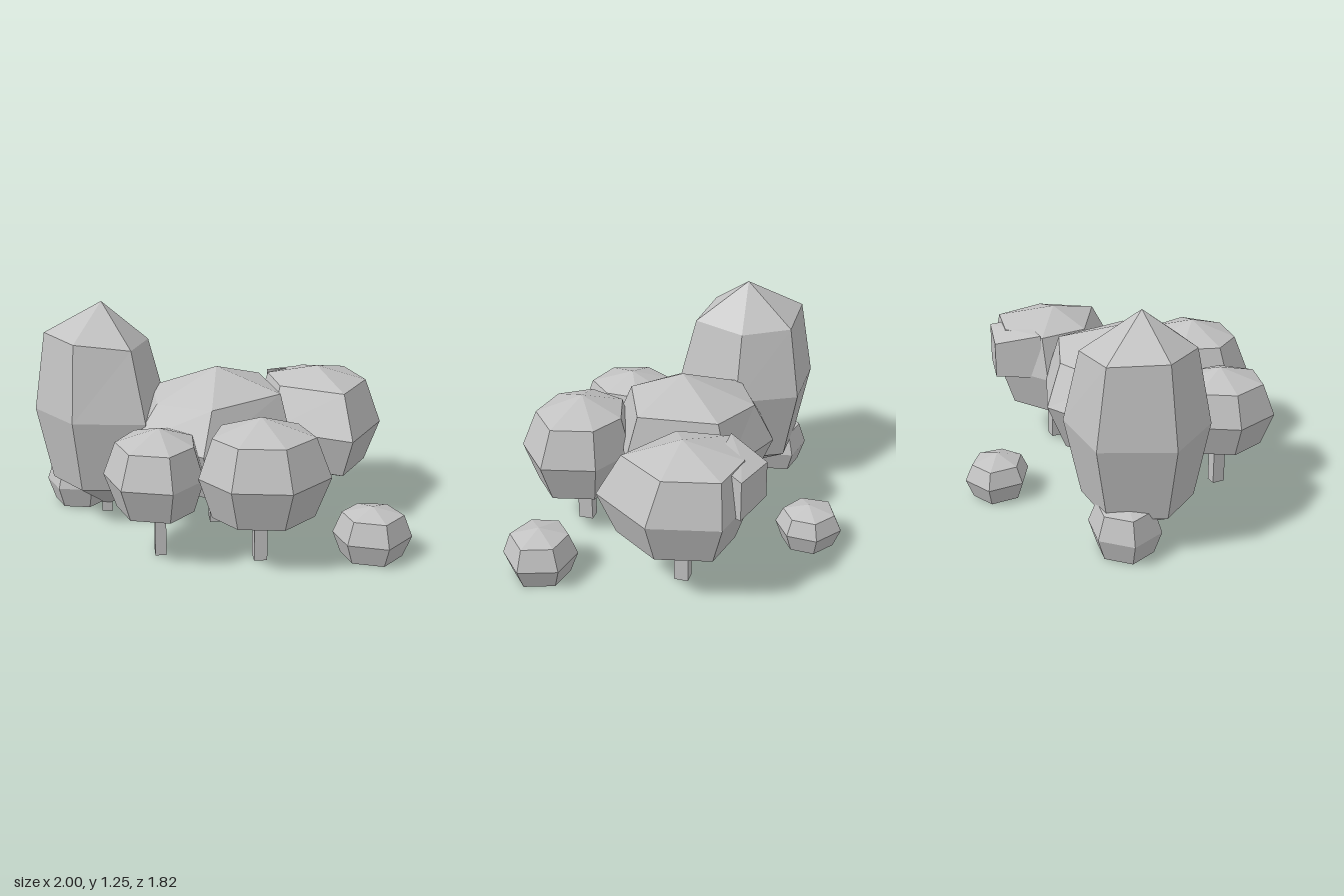
import * as THREE from 'three';

const foliage = new THREE.MeshStandardMaterial({ color: 0xc2c2c2 });
foliage.name = 'pale grey';

// Faceted solid: rings of [x, y, z] from bottom to top, closed by a point at each end
function loft(name, bottom, rings, top) {
  const pos = [];
  const tri = (...pts) => pts.forEach((p) => pos.push(...p));
  const n = rings[0].length;
  for (let i = 0; i < n; i++) {
    const j = (i + 1) % n;
    tri(bottom, rings[0][i], rings[0][j]);
    for (let k = 0; k < rings.length - 1; k++) {
      const a = rings[k], b = rings[k + 1];
      tri(a[i], b[i], a[j]);
      tri(a[j], b[i], b[j]);
    }
    const t = rings[rings.length - 1];
    tri(t[i], top, t[j]);
  }
  const geo = new THREE.BufferGeometry();
  geo.setAttribute('position', new THREE.Float32BufferAttribute(pos, 3));
  geo.computeVertexNormals();
  const mesh = new THREE.Mesh(geo, foliage);
  mesh.name = name;
  return mesh;
}

// Rounded crown: heights are bottom point, lower ring, widest ring, upper ring, top point;
// the upper ring may be shifted by [x, z] and tilted along x
function crown({ name, c, y, outline, shift = [0, 0], tilt = 0 }) {
  const ring = (s, h, [dx, dz] = [0, 0], slope = 0) => outline.map(([x, z]) => {
    const px = (x - c[0]) * s + dx;
    return [c[0] + px, h + px * slope, c[1] + (z - c[1]) * s + dz];
  });
  return loft(name, [c[0], y[0], c[1]],
    [ring(0.78, y[1]), ring(1, y[2]), ring(0.78, y[3], shift, tilt)], [c[0], y[4], c[1]]);
}

// Outlines are [x, z] around the widest ring
const trees = [
  { name: 'tallTree', c: [-0.61, -0.175], y: [0.03, 0.22, 0.64, 1.05, 1.255], trunk: 0.06, shift: [-0.02, -0.01], tilt: -0.1,
    outline: [[-0.25, -0.2], [-0.39, 0.19], [-0.79, 0.14], [-1, -0.17], [-0.83, -0.53], [-0.42, -0.53]] },
  { name: 'middleTree', c: [0.015, 0.04], y: [0.2, 0.27, 0.54, 0.77, 0.92], trunk: 0.08, shift: [0.03, -0.01], tilt: 0.07,
    outline: [[0.41, 0.25], [-0.1, 0.47], [-0.46, 0.2], [-0.46, -0.27], [-0.06, -0.47], [0.34, -0.31]] },
  { name: 'leftBackTree', c: [0.62, -0.14], y: [0.19, 0.295, 0.53, 0.768, 0.855], trunk: 0.065, shift: [0, -0.04],
    outline: [[0.985, -0.055], [0.745, 0.295], [0.325, 0.04], [0.29, -0.32], [0.58, -0.5], [0.9, -0.43]] },
  { name: 'frontTree', c: [0.19, 0.575], y: [0.2, 0.265, 0.49, 0.7, 0.795], trunk: 0.07, shift: [0, -0.01],
    outline: [[0.545, 0.695], [0.305, 0.905], [0, 0.855], [-0.145, 0.64], [-0.05, 0.37], [0.235, 0.28], [0.475, 0.4]] },
  { name: 'rightFrontTree', c: [-0.335, 0.46], y: [0.2, 0.275, 0.46, 0.637, 0.715], trunk: 0.06,
    outline: [[-0.11, 0.59], [-0.285, 0.77], [-0.545, 0.695], [-0.63, 0.43], [-0.49, 0.2], [-0.26, 0.18], [-0.1, 0.35]] },
];

const bushes = [
  { name: 'frontBush', c: [0.79, 0.615], y: [0, 0.003, 0.12, 0.24, 0.285],
    outline: [[1, 0.66], [0.835, 0.815], [0.63, 0.74], [0.59, 0.55], [0.73, 0.42], [0.93, 0.455]] },
  { name: 'backBush', c: [0.095, -0.72], y: [0, 0.003, 0.11, 0.2, 0.245],
    outline: [[0.24, -0.63], [0.1, -0.535], [-0.07, -0.635], [-0.075, -0.835], [0.1, -0.91], [0.25, -0.8]] },
  { name: 'sideBush', c: [-0.765, -0.335], y: [0, 0.005, 0.13, 0.255, 0.285],
    outline: [[-0.58, -0.28], [-0.7, -0.15], [-0.89, -0.19], [-0.96, -0.38], [-0.82, -0.52], [-0.61, -0.48]] },
];

export function createModel() {
  const model = new THREE.Group();
  model.name = 'grove';

  for (const t of trees) {
    const tree = new THREE.Group();
    tree.name = t.name;
    // Square trunk reaching into the crown
    const trunk = new THREE.Mesh(new THREE.BoxGeometry(t.trunk, 0.3, t.trunk * 1.2), foliage);
    trunk.name = 'trunk';
    trunk.position.set(t.c[0], 0.15, t.c[1]);
    tree.add(trunk, crown({ ...t, name: 'crown' }));
    model.add(tree);
  }
  for (const b of bushes) model.add(crown(b));

  // Small leaf clump set into the rear of one crown, its top rising toward the tree
  const base = [[0.77, -0.49], [0.73, -0.42], [0.56, -0.33], [0.36, -0.33], [0.5, -0.56]];
  model.add(loft('leafClump', [0.58, 0.51, -0.42],
    [base.map(([x, z]) => [x, 0.52, z]), base.map(([x, z]) => [x, 0.87 + z * 0.26, z])],
    [0.58, 0.77, -0.44]));
  return model;
}
